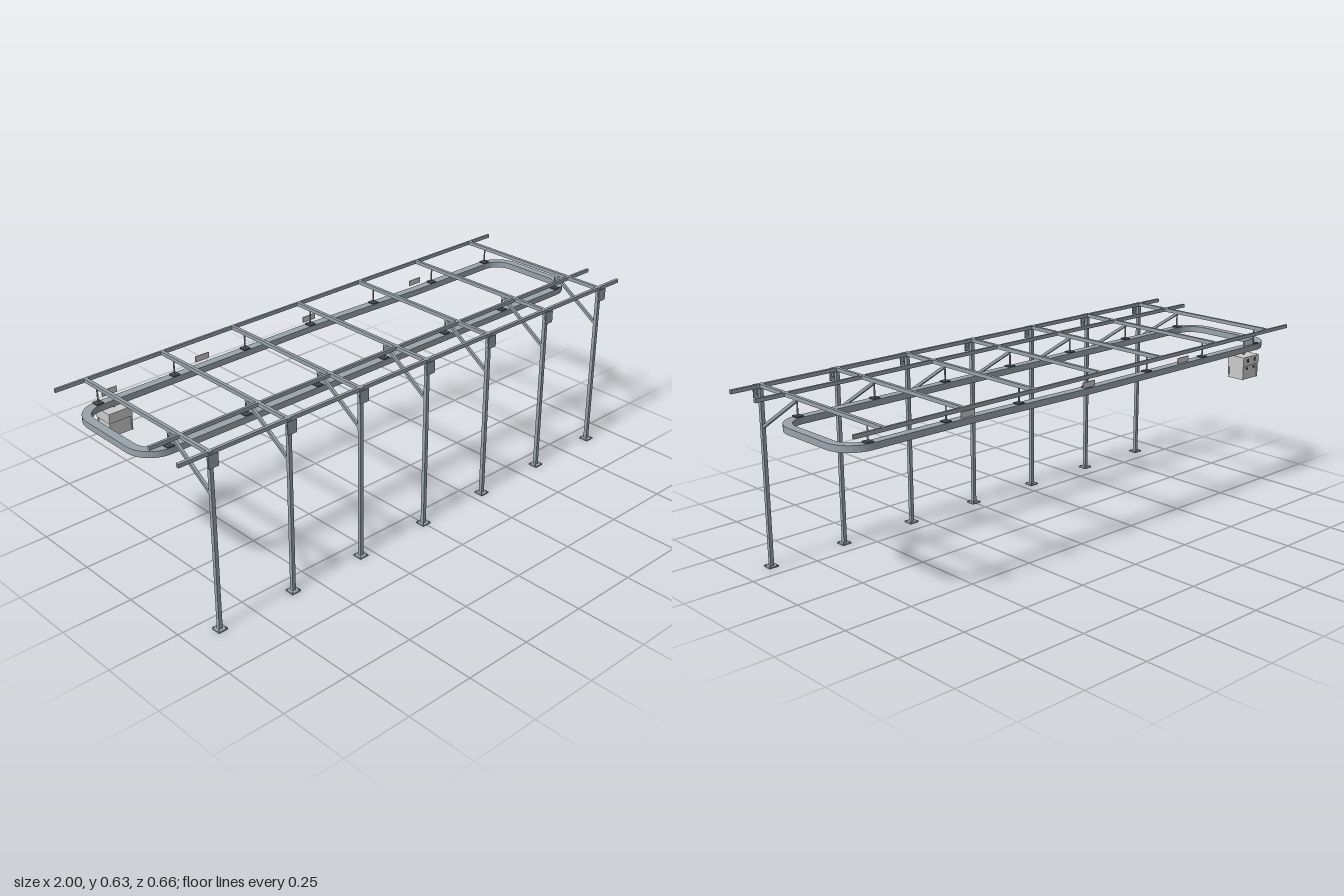
import * as THREE from 'three';
import { toCreasedNormals } from 'three/addons/utils/BufferGeometryUtils.js';

const steel = new THREE.MeshStandardMaterial({ color: 0x9aa4ab });
const dark = new THREE.MeshStandardMaterial({ color: 0x4a5055 });
const grey = new THREE.MeshStandardMaterial({ color: 0xcccccc });

const TRACK_Z = 0.111, TRACK_W = 0.03, TRACK_Y = 0.54, TRACK_TOP = 0.562;
const BEAM_Y = 0.6215, BEAM_H = 0.013, POST_Z = 0.314;

function box(parent, name, size, pos, material = steel) {
  const mesh = new THREE.Mesh(new THREE.BoxGeometry(...size), material);
  mesh.name = name;
  mesh.position.set(...pos);
  parent.add(mesh);
  return mesh;
}

function rod(parent, name, radius, y0, y1, x, z, material = steel) {
  const mesh = new THREE.Mesh(new THREE.CylinderGeometry(radius, radius, y1 - y0, 10), material);
  mesh.name = name;
  mesh.position.set(x, (y0 + y1) / 2, z);
  parent.add(mesh);
}

// Depth of the rear run, which steps inwards between x = 0 and x = 0.5
function rearZ(x) {
  const t = THREE.MathUtils.clamp(x / 0.5, 0, 1);
  return -0.264 + 0.019 * t;
}

// Closed loop with rounded corners, offset sideways from its centre line
function loopPoints(offset) {
  const r = 0.082 + offset, pts = [];
  const corner = (cx, cz, start) => {
    for (let i = 0; i <= 12; i++) {
      const a = start + (i / 12) * Math.PI / 2;
      pts.push(new THREE.Vector2(cx + r * Math.cos(a), -cz + r * Math.sin(a)));
    }
  };
  corner(0.882, rearZ(1) + 0.082, 0);
  for (const x of [0.5, 0]) pts.push(new THREE.Vector2(x, -rearZ(x) + offset));
  corner(-0.887, rearZ(-1) + 0.082, Math.PI / 2);
  corner(-0.887, TRACK_Z - 0.082, Math.PI);
  corner(0.882, TRACK_Z - 0.082, Math.PI * 1.5);
  return pts;
}

function makeTrack() {
  const shape = new THREE.Shape(loopPoints(TRACK_W / 2));
  shape.holes.push(new THREE.Path(loopPoints(-TRACK_W / 2)));
  let geo = new THREE.ExtrudeGeometry(shape, { depth: TRACK_TOP - TRACK_Y, bevelEnabled: false });
  geo.rotateX(-Math.PI / 2);
  geo = toCreasedNormals(geo, 0.5);
  const mesh = new THREE.Mesh(geo, steel);
  mesh.name = 'conveyorTrack';
  mesh.position.y = TRACK_Y;
  return mesh;
}

// Post, cantilever arm, brace and hangers for one bay
function makeFrame(x) {
  const g = new THREE.Group();
  g.name = 'supportFrame';
  g.position.x = x;
  box(g, 'basePlate', [0.036, 0.005, 0.035], [0, 0.0025, POST_Z + 0.001]);
  for (const sx of [-1, 1]) for (const sz of [-1, 1])
    rod(g, 'anchorBolt', 0.0018, 0.004, 0.008, sx * 0.013, POST_Z + sz * 0.013, dark);
  box(g, 'post', [0.013, 0.612, 0.013], [0, 0.309, POST_Z]);
  box(g, 'arm', [0.012, BEAM_H, 0.65], [0, BEAM_Y, -0.005]);
  box(g, 'headPlate', [0.036, 0.044, 0.004], [0, 0.602, 0.330]);
  box(g, 'headBracket', [0.024, 0.014, 0.009], [0, 0.602, 0.324]);

  // Diagonal brace
  const z0 = 0.309, y0 = 0.485, z1 = 0.113, y1 = 0.614;
  const brace = box(g, 'brace', [0.01, 0.01, Math.hypot(z1 - z0, y1 - y0)],
    [0, (y0 + y1) / 2, (z0 + z1) / 2]);
  brace.rotation.x = Math.atan2(y1 - y0, z0 - z1);

  // Track hangers, front and rear
  for (const z of [TRACK_Z, rearZ(x)]) {
    box(g, 'hangerPad', [0.026, 0.004, 0.027], [0, TRACK_TOP + 0.002, z], dark);
    rod(g, 'hangerRod', 0.0028, TRACK_TOP, 0.617, 0, z);
  }
  return g;
}

// Box carried below the rear run of the track
function makeCarrier() {
  const g = new THREE.Group();
  g.name = 'carriedBox';
  g.position.set(-0.832, 0, -0.265);
  box(g, 'boxBody', [0.082, 0.052, 0.064], [0, 0.471, 0], grey);
  box(g, 'boxLid', [0.088, 0.034, 0.073], [0, 0.513, 0], grey);
  for (const sx of [-1, 1]) for (const sz of [-1, 1])
    box(g, 'cornerPost', [0.005, 0.052, 0.005], [sx * 0.0405, 0.471, sz * 0.0325], grey);
  for (const sx of [-1, 1]) {
    box(g, 'latch', [0.006, 0.012, 0.004], [sx * 0.02, 0.516, -0.038], dark);
    box(g, 'catch', [0.005, 0.006, 0.005], [sx * 0.02, 0.486, -0.0345], dark);
  }
  rod(g, 'suspensionRod', 0.003, 0.529, TRACK_Y + 0.002, 0, 0);
  return g;
}

export function createModel() {
  const model = new THREE.Group();
  model.name = 'overheadConveyor';

  for (let i = 0; i < 7; i++) model.add(makeFrame(-0.888 + i * 0.296));

  // Long rails tying the arms together
  box(model, 'frontRail', [2, BEAM_H, 0.011], [0, BEAM_Y, 0.311]);
  box(model, 'middleRail', [2, BEAM_H, 0.009], [0, BEAM_Y, 0.173]);
  box(model, 'rearRail', [2, BEAM_H, 0.008], [0, BEAM_Y, -0.328]);

  model.add(makeTrack(), makeCarrier());

  // Small plates standing along the rear run
  for (const x of [-0.832, -0.463, 0.01, 0.522])
    box(model, 'markerPlate', [0.055, 0.02, 0.004], [x, 0.578, rearZ(x) - 0.02], grey);

  return model;
}
